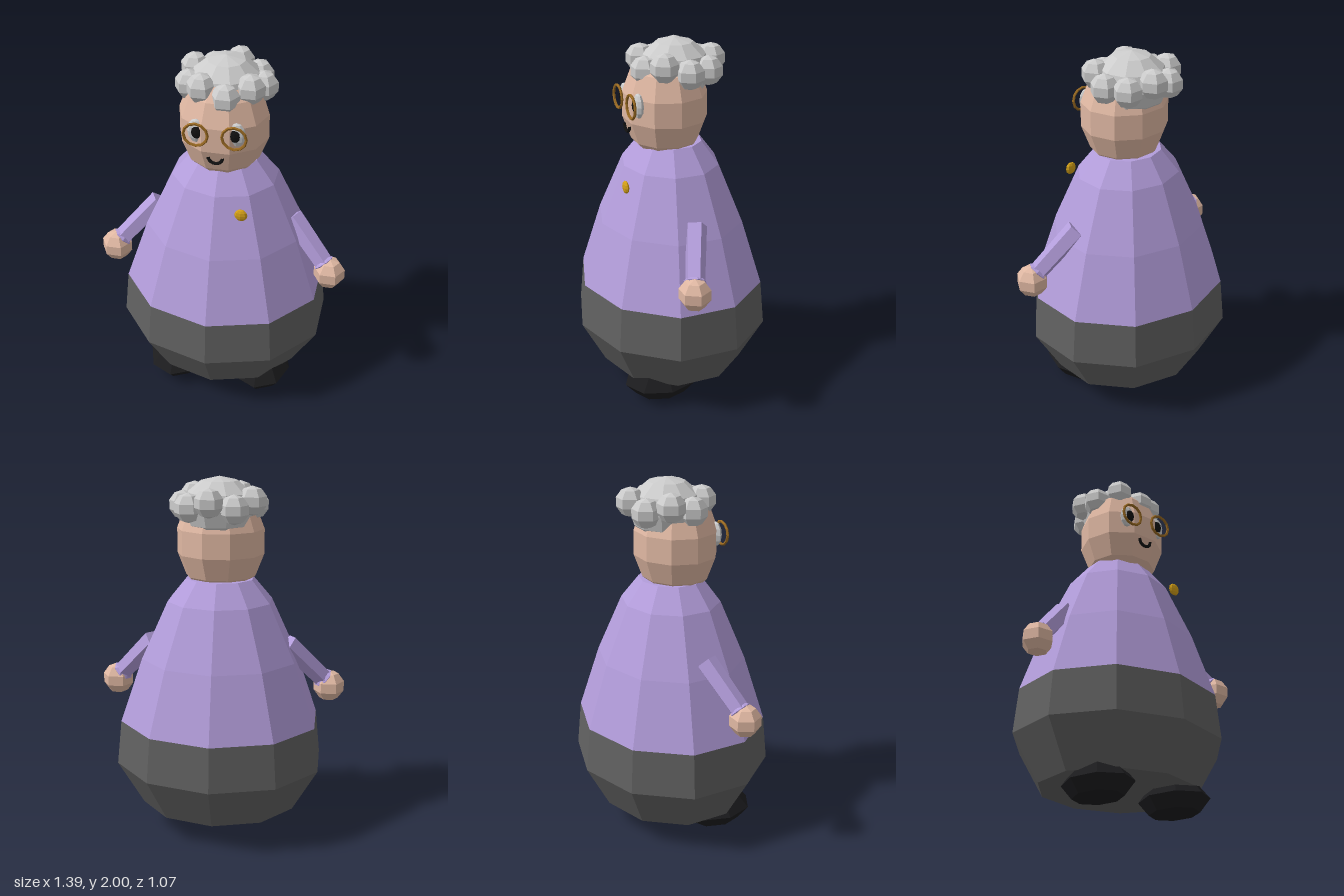
import * as THREE from 'three';

const mat = (color) => new THREE.MeshStandardMaterial({ color, flatShading: true });

export function createModel() {
  const group = new THREE.Group();
  const sweater = mat(0xb39ddb), skirt = mat(0x616161), skin = mat(0xe0b8a3), hair = mat(0xdcdcdc);
  const shoe = mat(0x1c1c1e), black = mat(0x111111), white = mat(0xf5f5f5);
  const frame = mat(0x9a6a22), gold = mat(0xd4a017);

  function add(name, geometry, material, x = 0, y = 0, z = 0) {
    const mesh = new THREE.Mesh(geometry, material);
    mesh.name = name;
    mesh.position.set(x, y, z);
    group.add(mesh);
    return mesh;
  }

  // faceted ellipsoid with given half sizes
  const blob = (rx, ry, rz, w, h) => new THREE.SphereGeometry(1, w, h).scale(rx, ry, rz);

  // ten-sided body shell, slightly flattened front to back
  const shell = (points) =>
    new THREE.LatheGeometry(points.map(([r, y]) => new THREE.Vector2(r, y)), 10).scale(1, 1, 0.9);

  // Body
  add('skirt', shell([[0, 0.14], [0.447, 0.14], [0.594, 0.39], [0.568, 0.64]]), skirt);
  add('sweater', shell([[0.568, 0.64], [0.443, 1.0], [0.295, 1.32], [0.19, 1.445], [0, 1.445]]), sweater);
  add('brooch', blob(0.035, 0.035, 0.016, 8, 6), gold, 0.15, 1.26, 0.312);

  // Head
  add('head', blob(0.246, 0.305, 0.232, 10, 7), skin, 0, 1.645, 0.03);
  const mouth = add('mouth', new THREE.TorusGeometry(0.038, 0.009, 5, 10, Math.PI), black, 0, 1.553, 0.245);
  mouth.rotation.z = Math.PI;

  // Hair: crown dome with a ring of curls at alternating heights
  add('hairCrown', blob(0.2, 0.17, 0.2, 10, 6), hair, 0, 1.83, -0.025);
  for (let i = 0; i < 9; i++) {
    const a = (i / 9) * Math.PI * 2;
    add('curl', new THREE.SphereGeometry(0.08, 6, 5), hair,
      Math.cos(a) * 0.195, i % 2 ? 1.88 : 1.845, -0.033 + Math.sin(a) * 0.19);
  }

  // Mirrored parts
  for (const s of [-1, 1]) {
    const side = s > 0 ? 'left' : 'right';

    // Eye and spectacle rim
    add(side + 'Eye', blob(0.048, 0.068, 0.026, 8, 6), white, s * 0.105, 1.682, 0.218);
    add(side + 'Pupil', blob(0.029, 0.036, 0.014, 8, 6), black, s * 0.1, 1.682, 0.236);
    add(side + 'GlassesRim', new THREE.TorusGeometry(0.063, 0.008, 5, 12), frame, s * 0.1, 1.68, 0.258);

    // Sleeve, cuff and hand
    const top = new THREE.Vector3(s * 0.375, 1.08, 0.005);
    const wrist = new THREE.Vector3(s * 0.575, 0.86, 0.095);
    const dir = wrist.clone().sub(top);
    const sleeve = add(side + 'Sleeve', new THREE.CylinderGeometry(0.054, 0.06, dir.length(), 5), sweater);
    sleeve.position.copy(top).lerp(wrist, 0.5);
    dir.normalize();
    sleeve.quaternion.setFromUnitVectors(new THREE.Vector3(0, 1, 0), dir);
    const cuff = add(side + 'Cuff', new THREE.TorusGeometry(0.048, 0.014, 4, 8), sweater);
    cuff.position.copy(wrist);
    cuff.quaternion.setFromUnitVectors(new THREE.Vector3(0, 0, 1), dir);
    add(side + 'Hand', new THREE.SphereGeometry(0.09, 6, 5), skin, s * 0.61, 0.81, 0.11);

    // Shoe
    add(side + 'Shoe', blob(0.17, 0.1, 0.215, 8, 4), shoe, s * 0.25, 0.1, 0.155);
  }
  return group;
}
